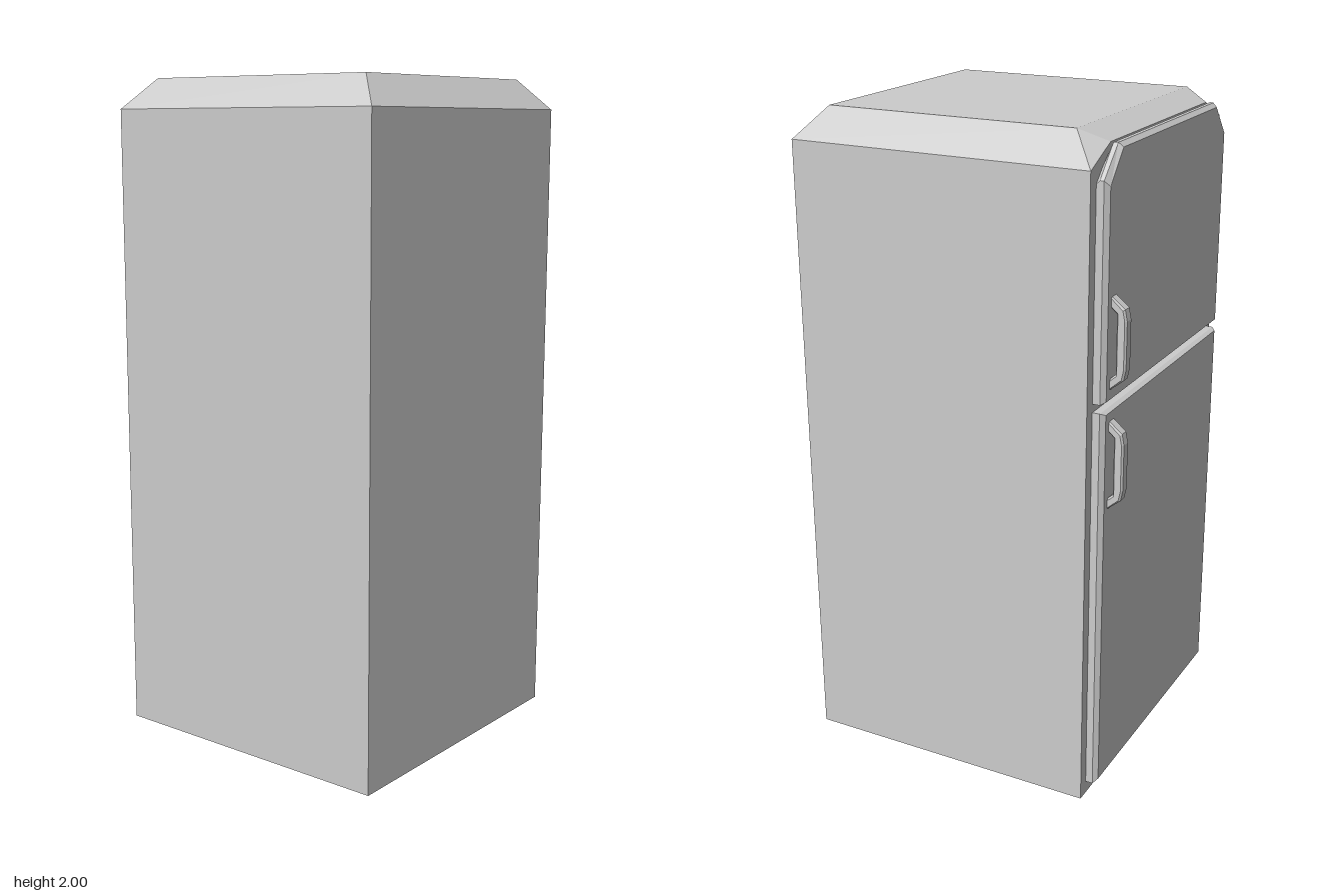
import * as THREE from 'three';
import { ConvexGeometry } from 'three/addons/geometries/ConvexGeometry.js';

const material = new THREE.MeshStandardMaterial({ color: 0xcccccc, flatShading: true });

function part(name, geometry) {
  const mesh = new THREE.Mesh(geometry, material);
  mesh.name = name;
  return mesh;
}

// Joins convex [z, y] outlines placed at successive x positions, outermost first
function loftAlongX(sections) {
  const rings = sections.map(([x, pts]) => pts.map(([z, y]) => [x, y, z]));
  const pos = [];
  const tri = (a, b, c) => pos.push(...a, ...b, ...c);
  const n = rings[0].length;
  const first = rings[0], last = rings[rings.length - 1];
  for (let i = 1; i < n - 1; i++) {
    tri(first[0], first[i], first[i + 1]);
    tri(last[0], last[i + 1], last[i]);
  }
  for (let r = 0; r < rings.length - 1; r++) {
    const a = rings[r], b = rings[r + 1];
    for (let i = 0; i < n; i++) {
      const j = (i + 1) % n;
      tri(b[i], b[j], a[j]);
      tri(b[i], a[j], a[i]);
    }
  }
  const geometry = new THREE.BufferGeometry();
  geometry.setAttribute('position', new THREE.Float32BufferAttribute(pos, 3));
  geometry.computeVertexNormals();
  return geometry;
}

// Cabinet with a sloped rim around the top and a raised lip over the doors
function cabinetGeometry() {
  const points = [];
  const rectangle = (y, x0, x1, z0, z1) => {
    for (const x of [x0, x1]) for (const z of [z0, z1]) points.push(new THREE.Vector3(x, y, z));
  };
  rectangle(0, -0.425, 0.502, -0.465, 0.462);
  rectangle(1.91, -0.425, 0.502, -0.465, 0.462);
  rectangle(2, -0.347, 0.423, -0.387, 0.382);
  for (const z of [-0.345, 0.342]) points.push(new THREE.Vector3(-0.425, 1.965, z));
  return new ConvexGeometry(points);
}

// Upper door outline: rectangle with its two top corners cut
function upperOutline(inset, shoulder, top, cutZ) {
  const w = 0.43 - inset, bottom = 1.265 + inset * 0.5;
  return [[-w, bottom], [w, bottom], [w, shoulder], [cutZ, top], [-cutZ, top], [-w, shoulder]];
}

function lowerOutline(inset) {
  const w = 0.43 - inset, b = 0.04 + inset, t = 1.24 - inset * 0.5;
  return [[-w, b], [w, b], [w, t], [-w, t]];
}

// Angular pull handle with an open grip
function handleGeometry() {
  const outer = [[0.005, 0.132], [-0.034, 0.098], [-0.04, 0.068], [-0.04, -0.068], [-0.034, -0.098], [0.005, -0.132]];
  const inner = [[0.005, -0.11], [-0.02, -0.088], [-0.02, 0.088], [0.005, 0.11]];
  const shape = new THREE.Shape([...outer, ...inner].map(([x, y]) => new THREE.Vector2(x, y)));
  return new THREE.ExtrudeGeometry(shape, {
    depth: 0.026, bevelEnabled: true, bevelThickness: 0.006, bevelSize: 0.005, bevelSegments: 1,
  }).translate(0, 0, -0.013);
}

export function createModel() {
  const fridge = new THREE.Group();
  fridge.name = 'refrigerator';
  fridge.add(part('cabinet', cabinetGeometry()));

  fridge.add(part('upperDoor', loftAlongX([
    [-0.46, upperOutline(0.013, 1.865, 1.953, 0.34)],
    [-0.447, upperOutline(0, 1.88, 1.965, 0.345)],
    [-0.435, upperOutline(0, 1.88, 1.965, 0.35)],
    [-0.425, upperOutline(0, 1.87, 1.91, 0.39)],
  ])));
  fridge.add(part('lowerDoor', loftAlongX([
    [-0.46, lowerOutline(0.013)],
    [-0.447, lowerOutline(0)],
    [-0.425, lowerOutline(0)],
  ])));

  for (const [name, y] of [['upperHandle', 1.432], ['lowerHandle', 1.075]]) {
    const handle = part(name, handleGeometry());
    handle.position.set(-0.46, y, -0.378);
    fridge.add(handle);
  }
  return fridge;
}
